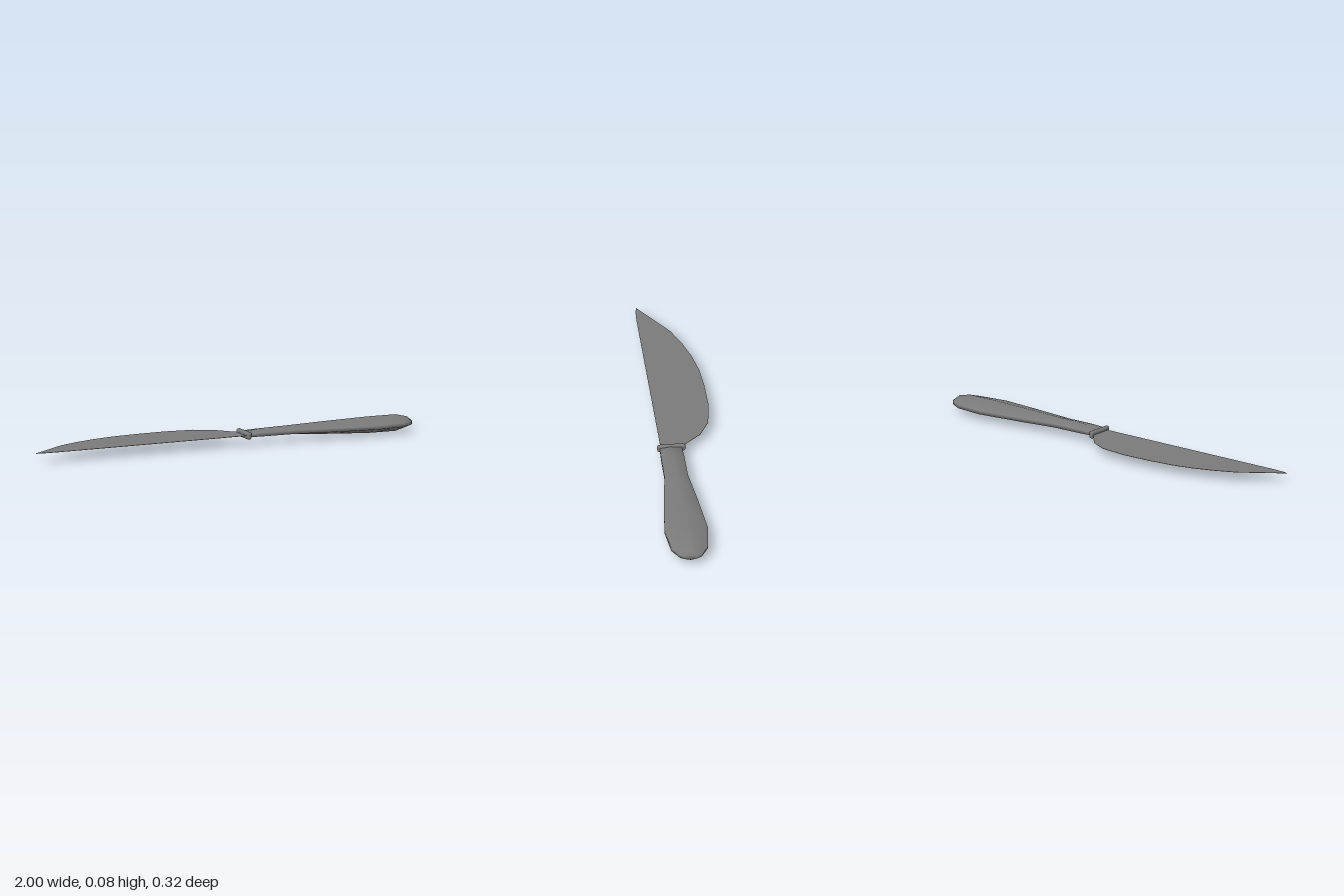
import * as THREE from 'three';
import { RoundedBoxGeometry } from 'three/addons/geometries/RoundedBoxGeometry.js';

const AXIS_Z = 0.057;

// Handle stations: x, half width, top ridge, bottom ridge, middle of side band, half height of side band
const STATIONS = [
  [0.125, 0.053, 0.061, 0.034, 0.048, 0.007],
  [0.21, 0.056, 0.070, 0.033, 0.049, 0.009],
  [0.36, 0.057, 0.073, 0.028, 0.048, 0.009],
  [0.55, 0.081, 0.078, 0.015, 0.046, 0.009],
  [0.78, 0.105, 0.082, 0.001, 0.044, 0.009],
  [0.925, 0.088, 0.081, 0.000, 0.043, 0.009],
  [0.985, 0.053, 0.066, 0.018, 0.043, 0.008],
  [1.0, 0.030, 0.054, 0.030, 0.042, 0.006],
];

// Skins six-sided sections along x and caps both ends
function handleGeometry() {
  const pos = [], index = [], n = 6;
  for (const [x, w, top, bottom, mid, band] of STATIONS) {
    const ring = [[top, 0], [mid + band, w], [mid - band, w], [bottom, 0], [mid - band, -w], [mid + band, -w]];
    for (const [y, z] of ring) pos.push(x, y, AXIS_Z + z);
  }
  const last = (STATIONS.length - 1) * n;
  for (let s = 0; s < last; s += n) {
    for (let i = 0; i < n; i++) {
      const j = (i + 1) % n;
      const a = s + i, b = s + j, c = a + n, d = b + n;
      index.push(a, b, c, b, d, c);
    }
  }
  for (let i = 1; i < n - 1; i++) {
    index.push(0, i + 1, i);
    index.push(last, last + i, last + i + 1);
  }
  const geo = new THREE.BufferGeometry();
  geo.setAttribute('position', new THREE.Float32BufferAttribute(pos, 3));
  geo.setIndex(index);
  geo.computeVertexNormals();
  return geo;
}

// Thin flat blade: straight edge at +z, curved edge at -z
function bladeGeometry() {
  const outline = [
    [-1, 0.095], [-0.97, 0.102], [-0.9, 0.105], [0.12, 0.105], [0.12, 0], [0.105, -0.015], [0.035, -0.097],
    [-0.055, -0.145], [-0.2, -0.163], [-0.35, -0.16], [-0.48, -0.149],
    [-0.59, -0.126], [-0.7, -0.09], [-0.8, -0.046], [-0.89, 0.017],
  ];
  const shape = new THREE.Shape(outline.map(([x, z]) => new THREE.Vector2(x, -z)));
  const geo = new THREE.ExtrudeGeometry(shape, { depth: 0.0015, bevelEnabled: false });
  geo.rotateX(-Math.PI / 2);
  geo.translate(0, 0.0472, 0);
  return geo;
}

export function createModel() {
  const group = new THREE.Group();
  const material = new THREE.MeshStandardMaterial({ color: 0x7a7a7a });
  const add = (name, geometry) => {
    const mesh = new THREE.Mesh(geometry, material);
    mesh.name = name;
    group.add(mesh);
    return mesh;
  };

  add('blade', bladeGeometry());
  add('handle', handleGeometry());

  // Rounded collar between blade and handle
  const collar = add('collar', new RoundedBoxGeometry(0.025, 0.036, 0.136, 3, 0.011));
  collar.position.set(0.124, 0.048, 0.054);
  return group;
}
